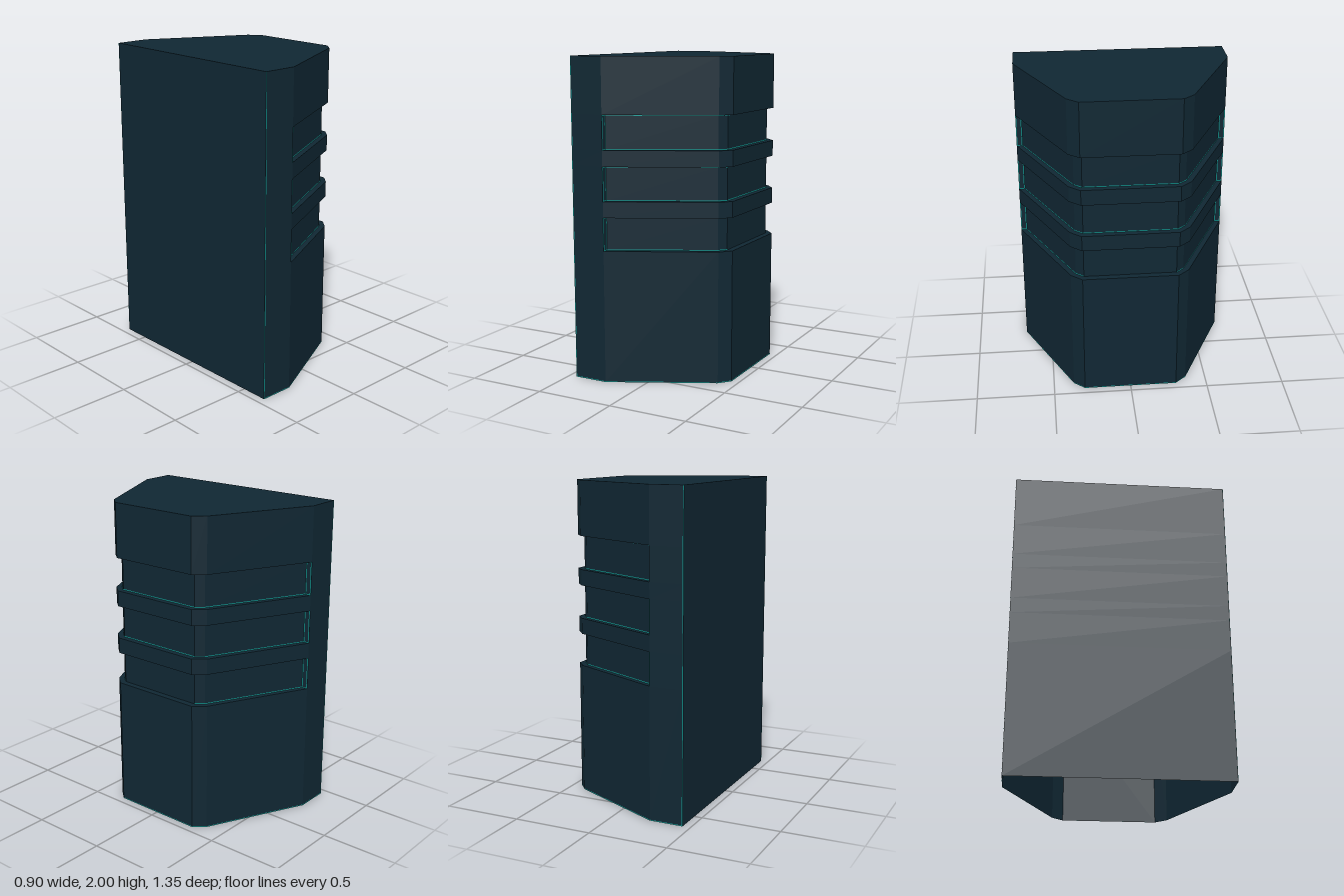
import * as THREE from 'three';

const H = 2;
const GROOVES = [[0.83, 1.035], [1.135, 1.345], [1.445, 1.655]];

// Half outlines as [x, z] on the +z side, mirrored to the -z side
const mirror = (half) => [...half, ...half.slice().reverse().map(([x, z]) => [x, -z])];
const corner = [-0.45, 0.675];
const outerFace = mirror([[-0.235, 0.675], [0.39, 0.37], [0.45, 0.3]]);
const innerFace = mirror([[-0.235, 0.637], [0.37, 0.338], [0.41, 0.29]]);
const outer = [corner, ...outerFace, [-0.45, -0.675]];
const grooved = [corner, outerFace[0], ...innerFace, outerFace[5], [-0.45, -0.675]];

// Upright faces along a path, optionally lifted outwards
function band(path, y0, y1, closed = false, lift = 0) {
  const pos = [];
  const count = closed ? path.length : path.length - 1;
  for (let i = 0; i < count; i++) {
    const a = path[i], b = path[(i + 1) % path.length];
    const dx = b[0] - a[0], dz = b[1] - a[1], len = Math.hypot(dx, dz);
    const ox = -dz / len * lift, oz = dx / len * lift;
    const A = [a[0] + ox, a[1] + oz], B = [b[0] + ox, b[1] + oz];
    for (const [p, y] of [[A, y0], [B, y0], [B, y1], [A, y0], [B, y1], [A, y1]]) {
      pos.push(p[0], y, p[1]);
    }
  }
  const geo = new THREE.BufferGeometry();
  geo.setAttribute('position', new THREE.Float32BufferAttribute(pos, 3));
  geo.computeVertexNormals();
  return geo;
}

// Level face with the given outline, facing up or down
function level(points, y, up) {
  const shape = new THREE.Shape(points.map(([x, z]) => new THREE.Vector2(x, up ? -z : z)));
  return new THREE.ShapeGeometry(shape).rotateX(up ? -Math.PI / 2 : Math.PI / 2).translate(0, y, 0);
}

export function createModel() {
  const model = new THREE.Group();
  const navy = new THREE.MeshStandardMaterial({ color: 0x102733, side: THREE.DoubleSide });
  navy.name = 'dark navy';
  const teal = new THREE.MeshStandardMaterial({ color: 0x14a09a, side: THREE.DoubleSide });
  teal.name = 'teal';
  const add = (name, geo, mat = navy) => {
    const mesh = new THREE.Mesh(geo, mat);
    mesh.name = name;
    model.add(mesh);
  };

  // Hollow column, closed on top and open underneath
  add('topCap', level(outer, H, true));
  let y = 0;
  for (const [y0, y1] of GROOVES) {
    add('wall', band(outer, y, y0, true));
    add('groovedWall', band(grooved, y0, y1, true));
    y = y1;
  }
  add('wall', band(outer, y, H, true));

  // Groove ledges and their thin teal outlines
  const ledge = [...outerFace, ...innerFace.slice().reverse()];
  const t = 0.006, lift = 0.002;
  GROOVES.forEach(([y0, y1], i) => {
    add('lowerLedge', level(ledge, y0, true));
    add('upperLedge', level(ledge, y1, false));
    const runs = i === 0 ? [innerFace.slice(0, 3), innerFace.slice(3)] : [innerFace];
    for (const run of runs) {
      add('lowerTrim', band(run, y0, y0 + t, false, lift), teal);
      add('upperTrim', band(run, y1 - t, y1, false, lift), teal);
    }
    // Outline of both end walls of the groove
    for (const [a, b] of [[0.675, 0.637], [-0.637, -0.675]]) {
      const x = -0.235;
      add('endTrim', band([[x, a], [x, a - t]], y0, y1, false, lift), teal);
      add('endTrim', band([[x, b + t], [x, b]], y0, y1, false, lift), teal);
      add('endTrim', band([[x, a], [x, b]], y0, y0 + t, false, lift), teal);
      add('endTrim', band([[x, a], [x, b]], y1 - t, y1, false, lift), teal);
    }
  });

  // Base line and back corner lines
  add('baseTrim', band(outer, 0, 0.006, false, 0.001), teal);
  for (const s of [1, -1]) {
    const edge = [[-0.45, 0.675 * s], [-0.445, 0.675 * s]];
    add('cornerTrim', band(s > 0 ? edge : edge.reverse(), 0, H, false, 0.001), teal);
  }
  return model;
}
